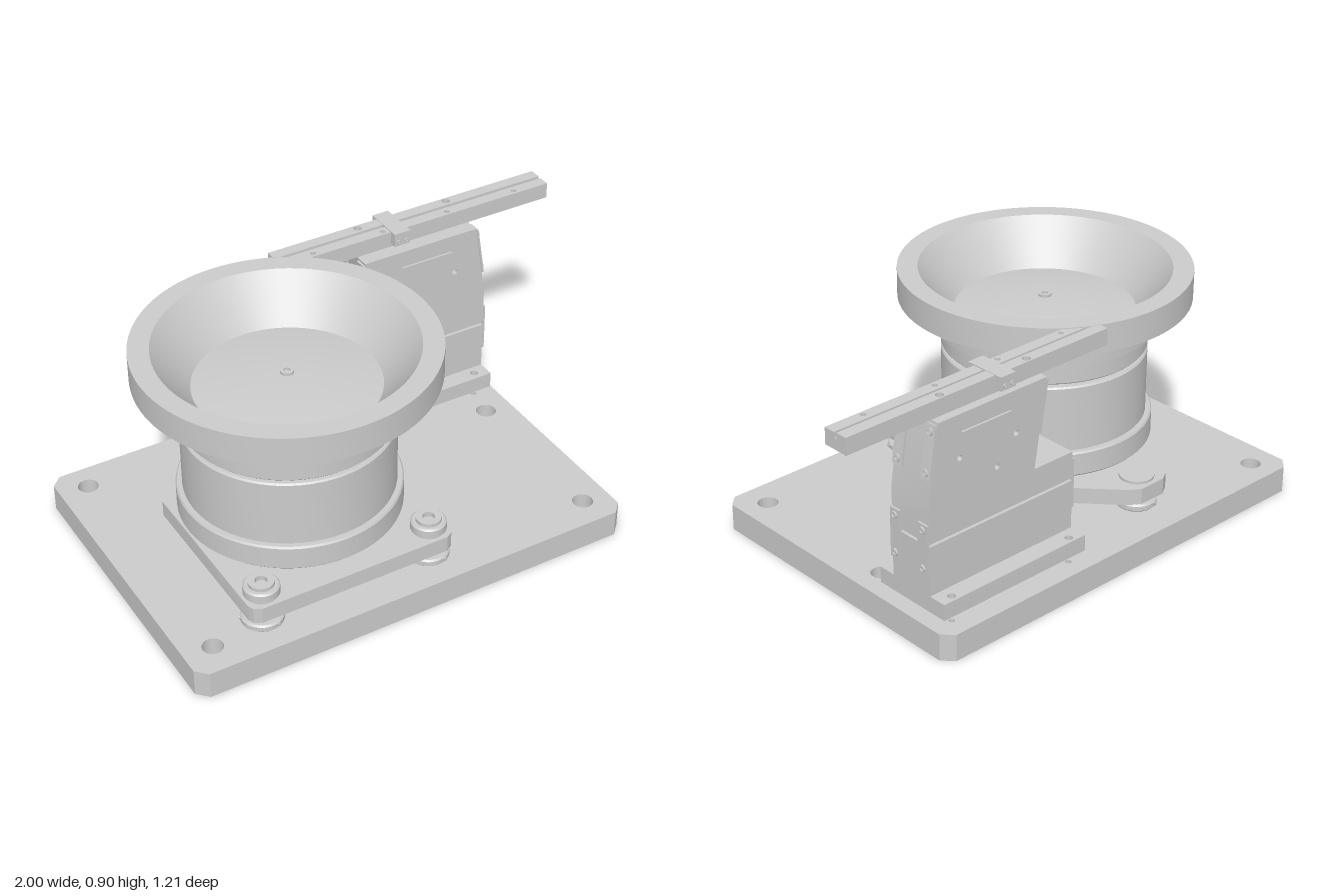
import * as THREE from 'three';
import { toCreasedNormals } from 'three/addons/utils/BufferGeometryUtils.js';

const mat = new THREE.MeshStandardMaterial({ color: 0xcccccc, side: THREE.DoubleSide });
const CX = -0.355, CZ = 0.065;   // bowl axis
const FZ = -0.3975;              // linear feeder centre line

export function createModel() {
  const model = new THREE.Group();

  const add = (name, geo, x = 0, y = 0, z = 0, parent = model) => {
    const m = new THREE.Mesh(geo, mat);
    m.name = name;
    m.position.set(x, y, z);
    parent.add(m);
    return m;
  };
  // box given by its limits
  const box = (name, x0, x1, y0, y1, z0, z1, parent) =>
    add(name, new THREE.BoxGeometry(x1 - x0, y1 - y0, z1 - z0),
      (x0 + x1) / 2, (y0 + y1) / 2, (z0 + z1) / 2, parent);
  const lathe = (pts, seg = 64) => toCreasedNormals(
    new THREE.LatheGeometry(pts.map(p => new THREE.Vector2(...p)), seg), 0.5);
  const hole = (x, y, r) => new THREE.Path().absarc(x, y, r, 0, Math.PI * 2, true);
  const outline = (pts, holes = []) => {
    const s = new THREE.Shape(pts.map(p => new THREE.Vector2(...p)));
    s.holes.push(...holes);
    return s;
  };
  const extrude = (shape, depth) => toCreasedNormals(
    new THREE.ExtrudeGeometry(shape, { depth, bevelEnabled: false, curveSegments: 20 }), 0.5);
  // horizontal slab: points and holes are [x, z]
  const slab = (name, pts, y0, y1, holes = []) => {
    const s = outline(pts.map(([x, z]) => [x, -z]), holes.map(([x, z, r]) => hole(x, -z, r)));
    return add(name, extrude(s, y1 - y0).rotateX(-Math.PI / 2), 0, y0, 0);
  };
  // socket-head screw standing on y = 0
  const screwGeo = (r, h) => lathe([[0, 0], [r, 0], [r, h], [r * 0.5, h], [r * 0.5, h * 0.3], [0, h * 0.3]], 18);

  const feet = [[-0.685, 0.46], [-0.025, 0.46], [CX, -0.42]];
  const mounts = [[0.1, -0.535], [0.64, -0.535], [0.1, -0.27], [0.64, -0.27]];

  // Base plate with chamfered corners
  slab('basePlate', [
    [-0.96, -0.608], [0.685, -0.608], [0.725, -0.568], [0.725, 0.565],
    [0.685, 0.605], [-0.96, 0.605], [-1, 0.565], [-1, -0.568],
  ], 0, 0.103, [
    [-0.89, -0.505, 0.038], [-0.89, 0.49, 0.038], [0.62, 0.49, 0.038], [0.62, -0.15, 0.038],
    ...[...feet, ...mounts].map(([x, z]) => [x, z, 0.011]),
  ]);

  // Carrier plate under the bowl drive
  slab('carrierPlate', [
    [-0.72, 0.53], [0.01, 0.53], [0.035, 0.515], [0.045, 0.49], [0.045, -0.15], [-0.26, -0.475],
    [-0.3, -0.5], [-0.41, -0.5], [-0.45, -0.475], [-0.755, -0.15], [-0.755, 0.49], [-0.745, 0.515],
  ], 0.16, 0.222);

  // Adjustable feet: knurled disc, stem, nut and screw
  feet.forEach(([x, z], i) => {
    const foot = new THREE.Group();
    foot.name = 'levellingFoot' + (i + 1);
    foot.position.set(x, 0, z);
    model.add(foot);
    add('footDisc', lathe([[0, 0.103], [0.055, 0.103], [0.055, 0.112], [0.07, 0.112], [0.076, 0.118],
      [0.076, 0.135], [0.07, 0.141], [0.045, 0.141], [0.045, 0.165], [0, 0.165]], 32), 0, 0, 0, foot);
    for (let k = 0; k < 8; k++) {
      const a = (k + 0.5) * Math.PI / 4;
      const pin = add('discPin', new THREE.CylinderGeometry(0.007, 0.007, 0.006, 10),
        0.076 * Math.cos(a), 0.126, 0.076 * Math.sin(a), foot);
      pin.rotation.set(0, -a, Math.PI / 2);
    }
    if (i < 2) {
      add('footNut', lathe([[0, 0.22], [0.055, 0.22], [0.055, 0.229], [0.064, 0.233], [0.064, 0.262], [0.058, 0.268],
        [0.046, 0.268], [0.046, 0.281], [0.022, 0.281], [0.022, 0.262], [0, 0.262]], 32), 0, 0, 0, foot);
    } else {
      add('footCap', lathe([[0, 0.22], [0.064, 0.22], [0.064, 0.232], [0, 0.232]], 32), 0, 0, 0, foot);
    }
  });

  // Bowl drive: lower ring, housing and top disc, separated by an air gap
  add('driveHousing', lathe([
    [0, 0.235], [0.395, 0.235], [0.402, 0.242], [0.402, 0.325], [0.397, 0.332], [0.379, 0.332],
    [0.379, 0.58], [0.374, 0.586], [0, 0.586],
  ]), CX, 0, CZ);
  add('driveSpindle', new THREE.CylinderGeometry(0.065, 0.065, 0.03, 24), CX, 0.23, CZ);
  add('driveTop', lathe([
    [0, 0.599], [0.374, 0.599], [0.379, 0.604], [0.379, 0.674], [0.374, 0.68], [0, 0.68],
  ]), CX, 0, CZ);

  // Bowl with conical wall and gently domed floor
  add('bowl', lathe([
    [0, 0.682], [0.412, 0.682], [0.412, 0.725], [0.455, 0.788], [0.535, 0.788], [0.535, 0.895],
    [0.46, 0.895], [0.33, 0.73], [0, 0.775],
  ], 96), CX, 0, CZ);
  add('bowlScrew', screwGeo(0.024, 0.014), CX, 0.768, CZ);

  // Feeder foot with mounting screws
  slab('feederFoot', [[0.045, -0.56], [0.695, -0.56], [0.695, -0.237], [0.045, -0.237]], 0.138, 0.2,
    mounts.map(([x, z]) => [x, z, 0.015]));

  // Feeder body: lower block and leaning upper block
  box('feederLowerBlock', 0.045, 0.695, 0.2, 0.387, FZ - 0.0925, FZ + 0.0925);
  const slot = new THREE.Path([[0.33, 0.76], [0.33, 0.766], [0.55, 0.766], [0.55, 0.76]]
    .map(p => new THREE.Vector2(...p)));
  add('feederUpperBlock', extrude(outline([
    [0.045, 0.397], [0.695, 0.397], [0.695, 0.545], [0.65, 0.83], [0.172, 0.83], [0.225, 0.5], [0.045, 0.5],
  ], [slot, hole(0.31, 0.67, 0.011), hole(0.56, 0.67, 0.011), hole(0.395, 0.575, 0.011)]), 0.185),
  0, 0, FZ - 0.0925);

  // Leaf springs: paired strips on both ends, upper ones leaning
  const spring = (name, x, y, h, tilt, side) => {
    for (const dz of [-0.069, 0.069]) {
      const g = new THREE.Group();
      g.name = name;
      g.position.set(x, y, FZ + dz);
      g.rotation.z = tilt;
      model.add(g);
      box('springStrip', -0.004, 0.004, -h / 2, h / 2, -0.0235, 0.0235, g);
      for (const dy of [-0.072, 0.072]) {
        const s = add('springScrew', screwGeo(0.014, 0.007), side * 0.004, dy, 0, g);
        s.rotation.z = -side * Math.PI / 2;
      }
    }
  };
  const lean = 0.157;
  spring('lowerSpringLeft', 0.7, 0.375, 0.19, 0, 1);
  spring('lowerSpringRight', 0.04, 0.375, 0.19, 0, -1);
  spring('upperSpringLeft', 0.672, 0.725, 0.195, lean, 1);
  spring('upperSpringRight', 0.184, 0.725, 0.195, lean, -1);

  // Track rail, its inner end cut to follow the bowl rim
  const railStart = z => Math.max(-0.14, CX + Math.sqrt(0.537 ** 2 - (z - CZ) ** 2));
  const rail = (name, z0, z1, y0, y1, holes) => {
    const pts = [[1, z1], [1, z0]];
    for (let i = 0; i <= 8; i++) {
      const z = z0 + (z1 - z0) * i / 8;
      pts.push([railStart(z), z]);
    }
    return slab(name, pts, y0, y1, holes);
  };
  rail('railBed', -0.46, -0.358, 0.832, 0.872);
  rail('railBackStrip', -0.46, -0.415, 0.872, 0.895, [[0.22, -0.44, 0.015], [0.6, -0.44, 0.015]]);
  rail('railFrontStrip', -0.403, -0.358, 0.872, 0.893,
    [0, 0.29, 0.565, 0.86].map(x => [x, -0.377, 0.01]));

  // Clamp gripping the rail from both sides
  for (const s of [-1, 1]) {
    const z = -0.409 + s * 0.065;
    box('clampJaw', 0.312, 0.378, 0.845, 0.888, z - 0.014, z + 0.014);
    for (const x of [0.329, 0.361]) {
      const screw = add('clampScrew', screwGeo(0.008, 0.005), x, 0.862, z + s * 0.014);
      screw.rotation.x = s * Math.PI / 2;
    }
  }
  box('clampBridge', 0.312, 0.378, 0.88, 0.897, -0.488, -0.33);

  return model;
}
